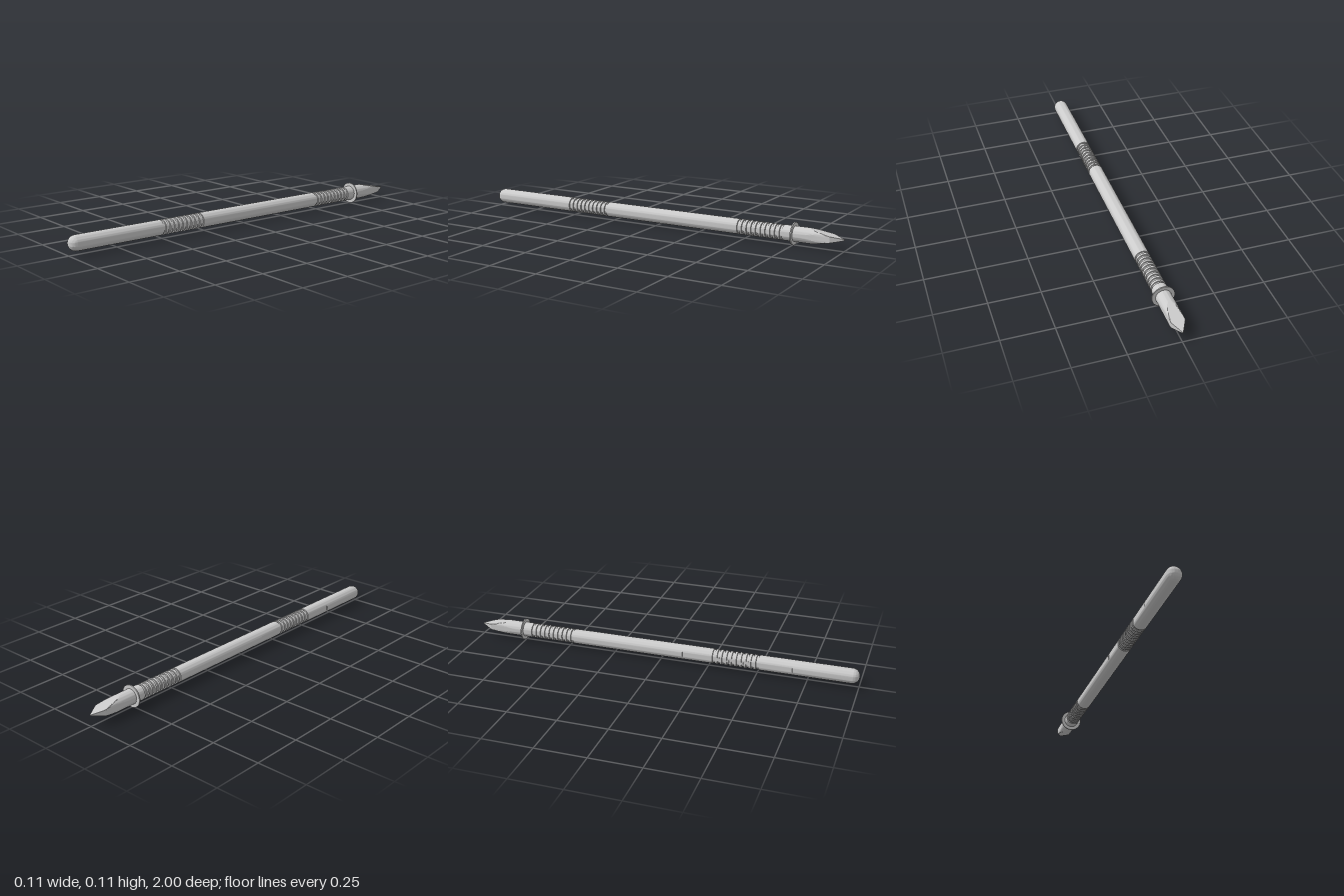
import * as THREE from 'three';
import { toCreasedNormals } from 'three/addons/utils/BufferGeometryUtils.js';

const R = 0.0375;       // rod radius
const AXIS_Y = 0.055;   // height of the rod's axis
const TIP_START = -0.76;

const clamp = (v, m) => THREE.MathUtils.clamp(v, -m, m);
const ramp = (z, z0, z1, a, b) => THREE.MathUtils.mapLinear(THREE.MathUtils.clamp(z, z1, z0), z0, z1, a, b);

// Profile points for a band of narrow grip grooves
function grooves(start, end, count = 10) {
  const pitch = (end - start) / count, points = [];
  for (let i = 0; i < count; i++) {
    const z = start + (i + 0.25) * pitch, g = pitch * 0.45;
    points.push([R, z], [R - 0.005, z + 0.001], [R - 0.005, z + g], [R, z + g + 0.001]);
  }
  return points;
}

function rodGeometry() {
  const flat = [0.12, 0.68];
  const profile = [
    [R, TIP_START],
    ...grooves(-0.71, -0.465),
    [R, flat[0]], [R, flat[0] + 0.002],
    ...grooves(0.27, 0.515),
    [R, flat[1] - 0.002], [R, flat[1]],
  ];
  // Rounded butt end
  for (let i = 0; i <= 10; i++) {
    const a = (i / 10) * Math.PI / 2;
    profile.push([i === 10 ? 0 : R * Math.cos(a), 1 - R + R * Math.sin(a)]);
  }
  const geo = new THREE.LatheGeometry(profile.map(([r, z]) => new THREE.Vector2(r, z)), 48);
  geo.rotateX(Math.PI / 2);
  // Shallow flat along the right side
  const p = geo.attributes.position;
  for (let i = 0; i < p.count; i++) {
    const z = p.getZ(i);
    if (z > flat[0] + 0.001 && z < flat[1] - 0.001) p.setX(i, Math.max(p.getX(i), -0.0345));
  }
  return toCreasedNormals(geo, 0.45);
}

// Round shank cut to a wedge above and below, and to a point in plan
function tipGeometry() {
  const length = 1 + TIP_START;
  const geo = new THREE.CylinderGeometry(R, R, length, 64, 24);
  geo.rotateX(Math.PI / 2).translate(0, 0, TIP_START - length / 2);
  const p = geo.attributes.position;
  for (let i = 0; i < p.count; i++) {
    const z = p.getZ(i);
    const halfHeight = ramp(z, -0.83, -1, R, 0.003);
    const halfWidth = z > -0.94 ? ramp(z, -0.79, -0.87, R, 0.034) : ramp(z, -0.94, -1, 0.034, 0.002);
    p.setXY(i, clamp(p.getX(i), halfWidth), clamp(p.getY(i), halfHeight));
  }
  return toCreasedNormals(geo, 0.3);
}

export function createModel() {
  const group = new THREE.Group();
  const material = new THREE.MeshStandardMaterial({ color: 0xcccccc });
  const add = (name, geometry) => {
    const mesh = new THREE.Mesh(geometry, material);
    mesh.name = name;
    mesh.position.y = AXIS_Y;
    group.add(mesh);
  };

  add('rod', rodGeometry());
  add('tip', tipGeometry());
  // Thin guard disc between grip and tip
  add('collar', new THREE.CylinderGeometry(0.055, 0.055, 0.006, 64).rotateX(Math.PI / 2).translate(0, 0, -0.755));

  return group;
}
